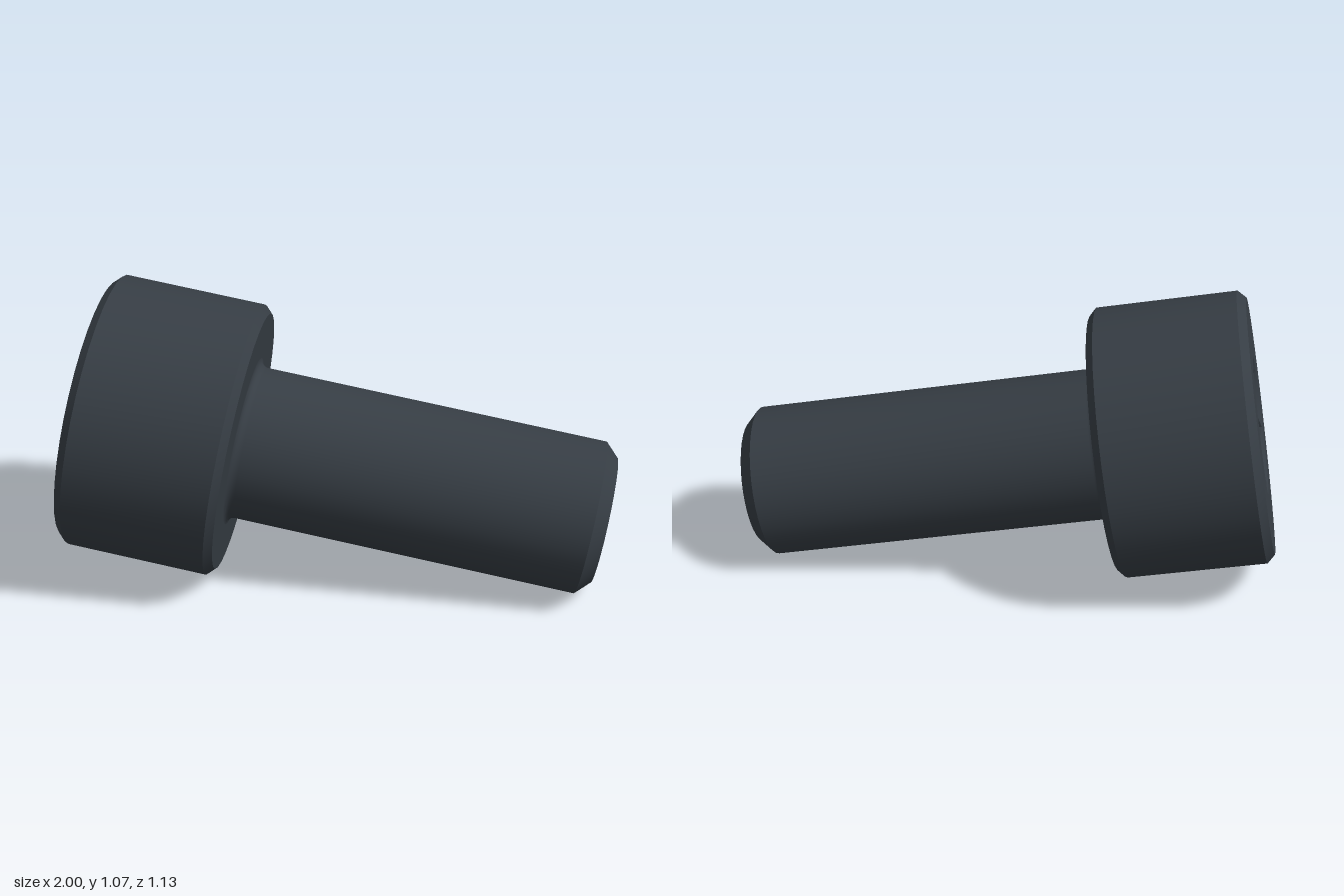
import * as THREE from 'three';
import { toCreasedNormals } from 'three/addons/utils/BufferGeometryUtils.js';

const SIDES = 36;
const SHANK_R = 0.277, HEAD_R = 0.4975, FILLET = 0.03;
const HEAD_BASE = 1.318, HEAD_TOP = 1.885;
const MOUTH_R = 0.25, HEX_R = 0.244, SOCKET_FLOOR = HEAD_TOP - 0.25;

function lathe(profile) {
  const points = profile.map(([r, y]) => new THREE.Vector2(r, y));
  return toCreasedNormals(new THREE.LatheGeometry(points, SIDES), 0.5);
}

// Countersunk hexagonal recess: mouth circle, scalloped hex edge, hex floor, centre
function socketGeometry() {
  const hexRadius = (a) => {
    const sector = Math.PI / 3;
    const fromFlat = (a % sector) - sector / 2;
    return HEX_R * Math.cos(sector / 2) / Math.cos(fromFlat);
  };
  const rings = [
    () => [MOUTH_R, HEAD_TOP],
    (a) => [hexRadius(a), HEAD_TOP - (MOUTH_R - hexRadius(a)) * 0.58],
    (a) => [hexRadius(a), SOCKET_FLOOR],
    () => [0, SOCKET_FLOOR],
  ];
  const positions = [], index = [];
  rings.forEach((ring, k) => {
    for (let i = 0; i < SIDES; i++) {
      const a = (i / SIDES) * Math.PI * 2;
      const [r, y] = ring(a);
      positions.push(r * Math.cos(a), y, -r * Math.sin(a));
      if (k === 0) continue;
      const next = (i + 1) % SIDES;
      const lo = (k - 1) * SIDES, hi = k * SIDES;
      index.push(lo + i, lo + next, hi + i);
      if (k < rings.length - 1) index.push(lo + next, hi + next, hi + i);
    }
  });
  const geometry = new THREE.BufferGeometry();
  geometry.setAttribute('position', new THREE.Float32BufferAttribute(positions, 3));
  geometry.setIndex(index);
  return toCreasedNormals(geometry, 0.5);
}

export function createModel() {
  const steel = new THREE.MeshStandardMaterial({ color: 0x363d44 });
  steel.name = 'blackened steel';

  const screw = new THREE.Group();
  screw.name = 'socketHeadScrew';
  const add = (name, geometry) => {
    const mesh = new THREE.Mesh(geometry, steel);
    mesh.name = name;
    screw.add(mesh);
  };

  // Shank with chamfered tip, flaring into the head through a small fillet
  const shank = [[0, 0], [0.227, 0], [SHANK_R, 0.05]];
  for (let i = 0; i <= 5; i++) {
    const a = (i / 5) * Math.PI / 2;
    shank.push([
      SHANK_R + FILLET * (1 - Math.cos(a)),
      HEAD_BASE - FILLET * (1 - Math.sin(a)),
    ]);
  }
  add('shank', lathe(shank));

  // Cylindrical head with chamfered edges, open at the socket mouth
  add('head', lathe([
    [SHANK_R + FILLET, HEAD_BASE], [0.47, HEAD_BASE], [HEAD_R, HEAD_BASE + 0.027],
    [HEAD_R, HEAD_TOP - 0.03], [0.468, HEAD_TOP], [MOUTH_R, HEAD_TOP],
  ]));
  add('hexSocket', socketGeometry());

  // Lay the screw along its tilted axis, one hex corner pointing down
  const axis = new THREE.Vector3(-0.964, 0.168, -0.207).normalize();
  const side = new THREE.Vector3(0, -1, 0).cross(axis).normalize();
  const down = new THREE.Vector3().crossVectors(axis, side);
  screw.quaternion.setFromRotationMatrix(new THREE.Matrix4().makeBasis(down, axis, side));
  screw.position.set(0.941, 0.267, 0.305);

  const model = new THREE.Group();
  model.name = 'model';
  model.add(screw);
  return model;
}
